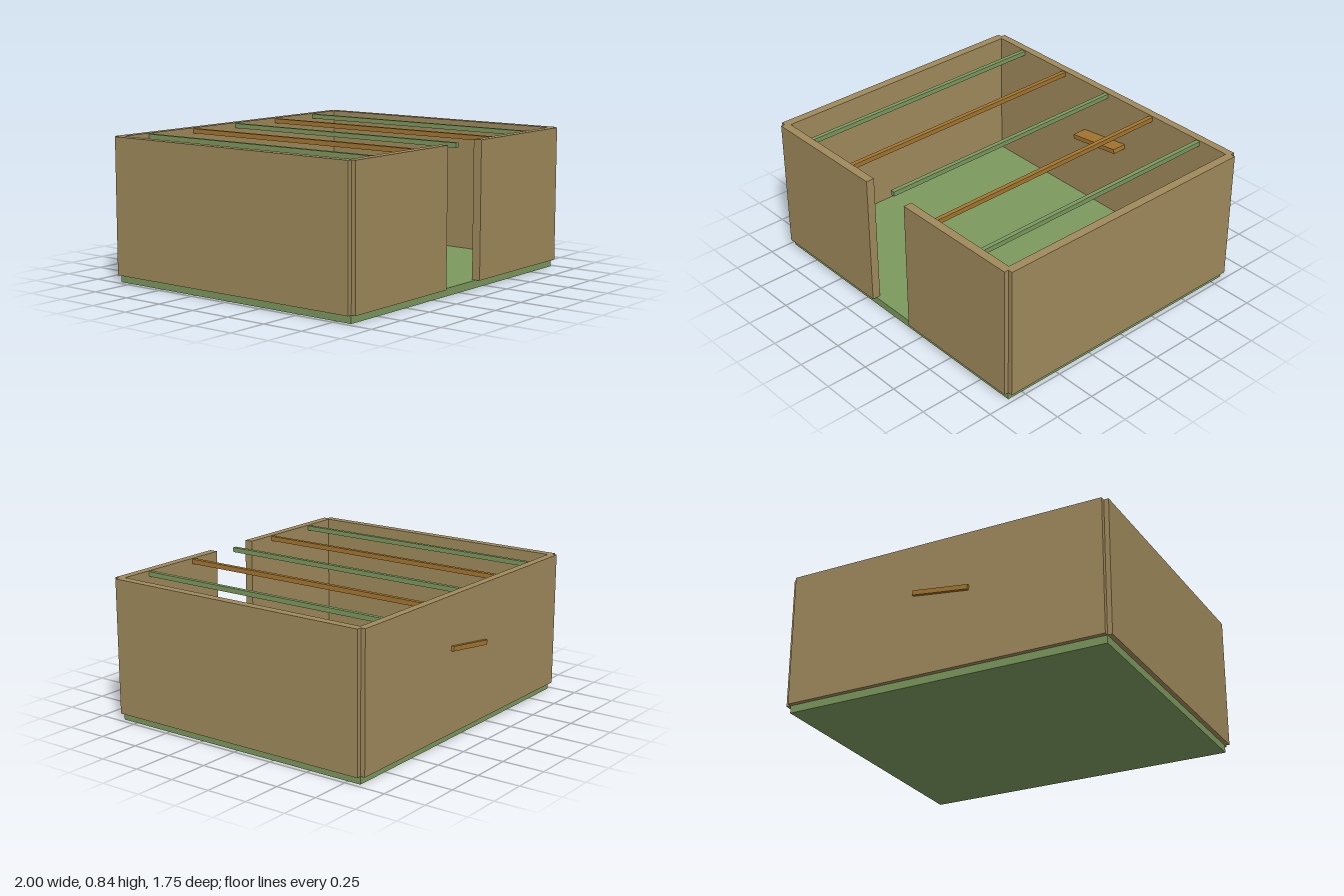
import * as THREE from 'three';

const tan = new THREE.MeshStandardMaterial({ color: 0xa08a5c });
const green = new THREE.MeshStandardMaterial({ color: 0x7c995e });
const orange = new THREE.MeshStandardMaterial({ color: 0xa57630 });

// Box given by its [min, max] range on each axis
function box(name, material, [x0, x1], [y0, y1], [z0, z1]) {
  const mesh = new THREE.Mesh(new THREE.BoxGeometry(x1 - x0, y1 - y0, z1 - z0), material);
  mesh.position.set((x0 + x1) / 2, (y0 + y1) / 2, (z0 + z1) / 2);
  mesh.name = name;
  return mesh;
}

export function createModel() {
  const model = new THREE.Group();
  model.name = 'openRoom';
  const wallY = [0.045, 0.843];
  const depth = [-0.83, 0.848];

  // Floor slab
  model.add(box('floor', green, [-0.972, 0.972], [0, 0.045], depth));

  // Side walls, back wall and the two front walls beside the doorway
  model.add(box('leftWall', tan, [0.948, 1], wallY, depth));
  model.add(box('rightWall', tan, [-1, -0.948], wallY, depth));
  model.add(box('backWall', tan, [-0.972, 0.972], wallY, [-0.857, -0.81]));
  model.add(box('frontLeftWall', tan, [0.163, 0.972], wallY, [0.823, 0.874]));
  model.add(box('frontRightWall', tan, [-0.972, -0.163], wallY, [0.823, 0.874]));

  // Roof beams running front to back, alternating in colour
  for (let i = -2; i <= 2; i++) {
    const x = i * 0.37;
    model.add(box('roofBeam', i % 2 ? orange : green, [x - 0.013, x + 0.013], [0.81, 0.838], [-0.815, 0.823]));
  }

  // Tilted shelf pushed through the back wall
  const shelf = box('shelf', orange, [-0.177, 0.171], [0.506, 0.534], [-0.875, -0.717]);
  shelf.rotation.z = 0.13;
  model.add(shelf);

  return model;
}
